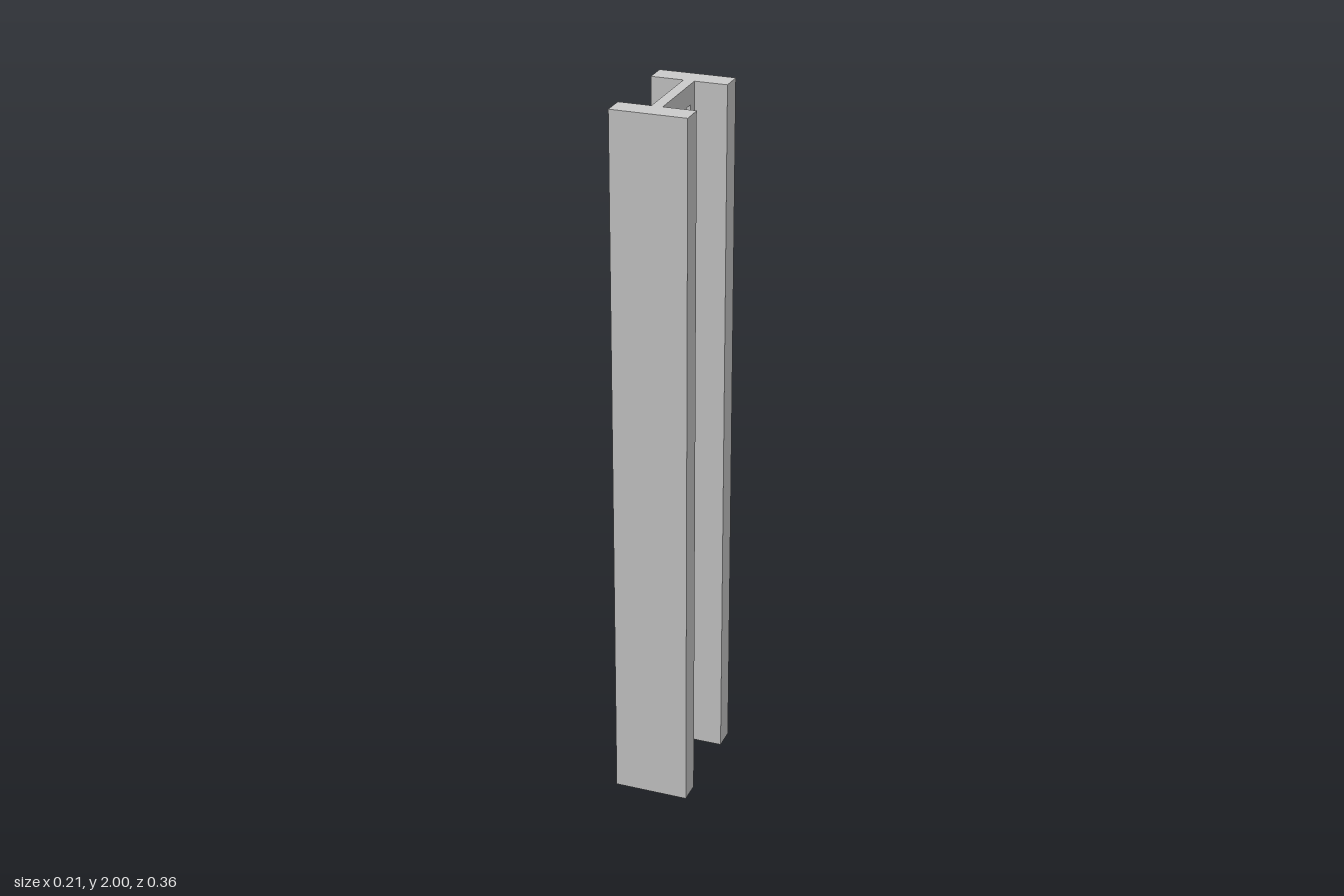
import * as THREE from 'three';

const HEIGHT = 2;
const FLANGE = { width: 0.21, inner: 0.115, outer: 0.18 };
const WEB_THICKNESS = 0.03;
const SLOT = { inner: 0.056, outer: 0.087, bottom: 0.055, top: 1.945 };

// Traces a rectangle onto a Shape or Path
function rectangle(path, x0, y0, x1, y1) {
  path.moveTo(x0, y0);
  path.lineTo(x1, y0);
  path.lineTo(x1, y1);
  path.lineTo(x0, y1);
  path.closePath();
  return path;
}

export function createModel() {
  const group = new THREE.Group();
  group.name = 'slottedBeam';
  const material = new THREE.MeshStandardMaterial({ color: 0xcccccc });

  // Front and back flanges
  const depth = FLANGE.outer - FLANGE.inner;
  for (const side of [1, -1]) {
    const flange = new THREE.Mesh(new THREE.BoxGeometry(FLANGE.width, HEIGHT, depth), material);
    flange.name = side > 0 ? 'frontFlange' : 'backFlange';
    flange.position.set(0, HEIGHT / 2, side * (FLANGE.inner + FLANGE.outer) / 2);
    group.add(flange);
  }

  // Thin web between the flanges, cut through by two long slots
  const profile = rectangle(new THREE.Shape(), -FLANGE.inner, 0, FLANGE.inner, HEIGHT);
  for (const side of [1, -1]) {
    const edges = [side * SLOT.inner, side * SLOT.outer].sort((a, b) => a - b);
    profile.holes.push(rectangle(new THREE.Path(), edges[0], SLOT.bottom, edges[1], SLOT.top));
  }
  const webGeometry = new THREE.ExtrudeGeometry(profile, { depth: WEB_THICKNESS, bevelEnabled: false });
  webGeometry.translate(0, 0, -WEB_THICKNESS / 2).rotateY(Math.PI / 2);
  const web = new THREE.Mesh(webGeometry, material);
  web.name = 'slottedWeb';
  group.add(web);

  return group;
}
